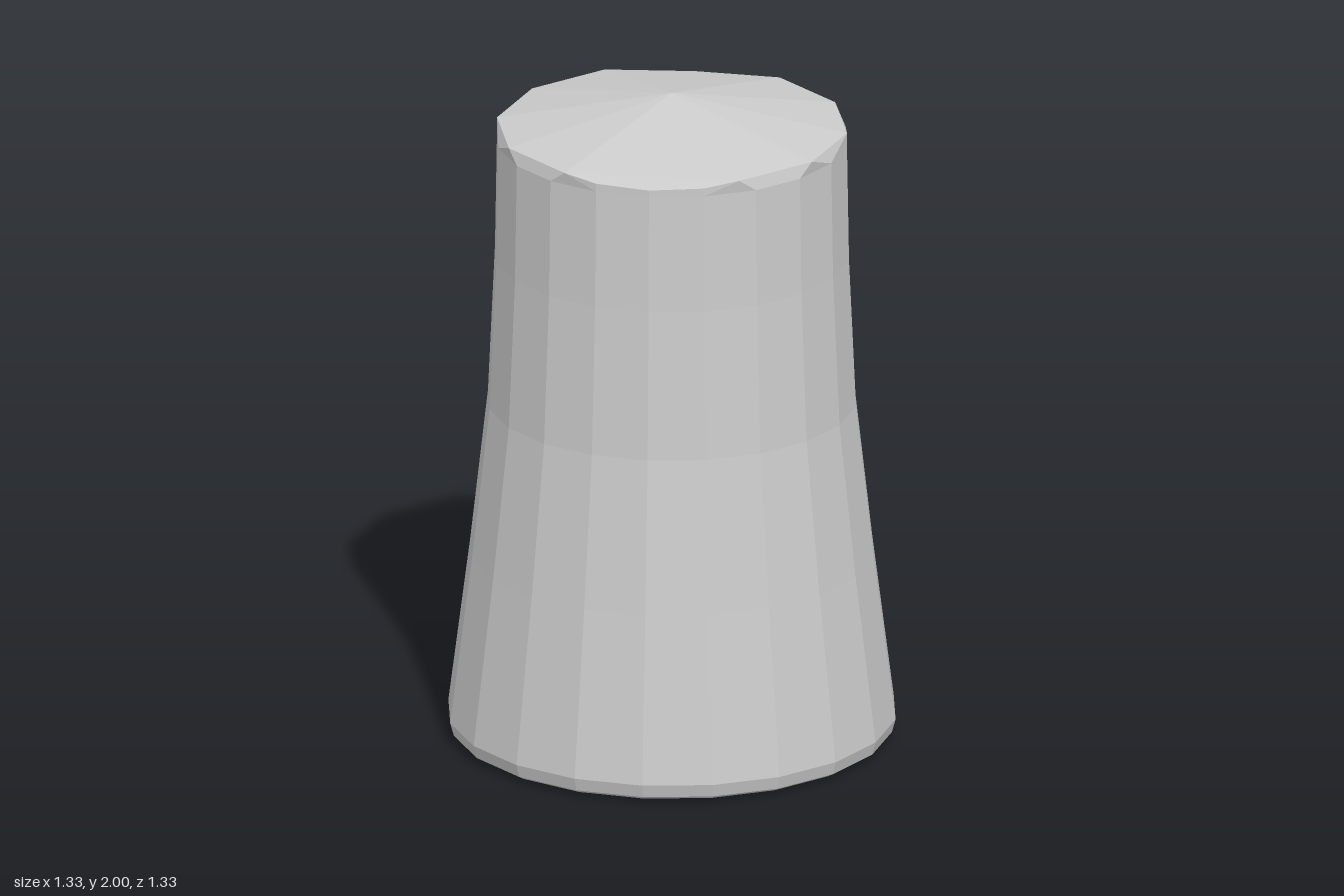
import * as THREE from 'three';
import { ConvexGeometry } from 'three/addons/geometries/ConvexGeometry.js';

const ringPoint = (sides, i, radius, y) => {
  const a = (i / sides) * Math.PI * 2;
  return new THREE.Vector3(Math.sin(a) * radius, y, Math.cos(a) * radius);
};

export function createModel() {
  const group = new THREE.Group();
  const material = new THREE.MeshStandardMaterial({ color: 0xcccccc, flatShading: true });
  const topRadius = 0.522, shoulderY = 1.86;

  // Flared 20-sided body with a small bevel at the foot
  const profile = [
    [0, 0], [0.57, 0.002], [0.635, 0.008], [0.656, 0.02], [0.667, 0.06],
    [0.602, 0.57], [0.549, 1.04], [0.528, 1.5], [topRadius, shoulderY],
  ].map(([r, y]) => new THREE.Vector2(r, y));
  const body = new THREE.Mesh(new THREE.LatheGeometry(profile, 20), material);
  body.name = 'body';
  group.add(body);

  // Shallow 12-sided pointed cap, blended down to the 20-sided shoulder
  const points = [new THREE.Vector3(0, 2, 0)];
  for (let i = 0; i < 12; i++) {
    points.push(ringPoint(12, i, topRadius, i % 6 === 0 ? 1.88 : 1.898));
  }
  for (let i = 0; i < 20; i++) points.push(ringPoint(20, i, topRadius, shoulderY));
  for (const i of [-1, 1]) points.push(ringPoint(20, i, topRadius, 1.885));
  const cap = new THREE.Mesh(new ConvexGeometry(points), material);
  cap.name = 'cap';
  group.add(cap);

  return group;
}
